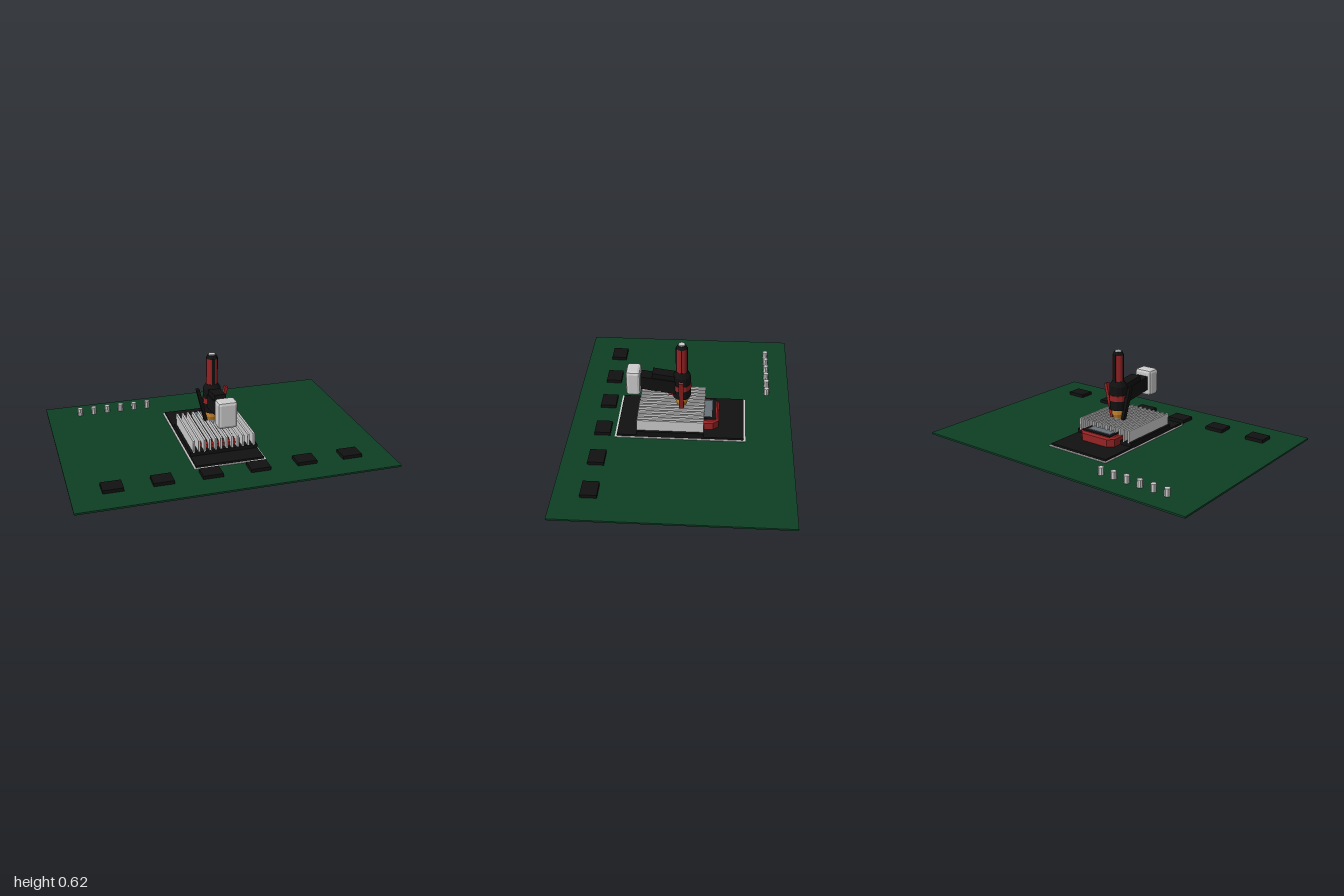
import * as THREE from 'three';
import { RoundedBoxGeometry } from 'three/addons/geometries/RoundedBoxGeometry.js';

function mat(name, color) {
  const m = new THREE.MeshStandardMaterial({ color, flatShading: true });
  m.name = name;
  return m;
}

export function createModel() {
  const green = mat('board green', 0x0e3f24);
  const black = mat('black', 0x111112);
  const red = mat('red', 0x962324);
  const silver = mat('silver', 0xcccccc);
  const brass = mat('brass', 0xc4842a);
  const slate = mat('slate grey', 0x687279);

  const model = new THREE.Group();
  model.name = 'circuitBoardWithTool';

  function add(name, geometry, material, x = 0, y = 0, z = 0, parent = model) {
    const mesh = new THREE.Mesh(geometry, material);
    mesh.name = name;
    mesh.position.set(x, y, z);
    parent.add(mesh);
    return mesh;
  }
  // box given by its limits on each axis
  function box(name, material, x0, x1, y0, y1, z0, z1, parent = model) {
    return add(name, new THREE.BoxGeometry(x1 - x0, y1 - y0, z1 - z0), material,
      (x0 + x1) / 2, (y0 + y1) / 2, (z0 + z1) / 2, parent);
  }
  // upright frustum from y0 to y1
  function frustum(name, material, r0, r1, y0, y1, parent, sides = 12) {
    return add(name, new THREE.CylinderGeometry(r1, r0, y1 - y0, sides), material, 0, (y0 + y1) / 2, 0, parent);
  }
  // box with chamfered edges
  function chamferBox(name, material, w, h, d, c, x, y, z, parent = model) {
    return add(name, new RoundedBoxGeometry(w, h, d, 1, c), material, x, y, z, parent);
  }

  // board
  box('board', green, -1, 1, 0.031, 0.042, -0.717, 0.717);

  // row of chips along the front edge
  for (let i = 0; i < 6; i++) {
    const x = -0.75 + i * 0.3;
    box('chip', black, x - 0.063, x + 0.063, 0.04, 0.064, 0.448, 0.55);
  }

  // row of capacitors at the back
  for (let i = 0; i < 6; i++) {
    add('capacitor', new THREE.CylinderGeometry(0.018, 0.018, 0.05, 8), silver, -0.781 + i * 0.0937, 0.065, -0.563);
  }

  // socket plate with its bright rim, and the foot below
  box('socketRim', silver, -0.23, 0.23, 0.027, 0.046, -0.418, 0.418);
  box('socketPlate', black, -0.218, 0.218, 0.044, 0.059, -0.405, 0.405);
  box('lowerPlate', silver, -0.048, 0.048, 0.022, 0.03, -0.07, 0.07);

  // heat sink
  box('heatSinkBase', black, -0.218, 0.218, 0.055, 0.085, -0.15, 0.278);
  for (let i = 0; i < 12; i++) {
    const x = -0.195 + i * 0.03545;
    box('heatSinkFin', silver, x - 0.0065, x + 0.0065, 0.08, 0.16, -0.15, 0.278);
  }

  // red housing under the fins, with a black lid and a grey pad
  const w = 0.125, l = 0.235, c = 0.03;
  const outline = new THREE.Shape([
    [-w + c, -l], [w - c, -l], [w, -l + c], [w, l - c],
    [w - c, l], [-w + c, l], [-w, l - c], [-w, -l + c],
  ].map(([x, y]) => new THREE.Vector2(x, y)));
  const housing = new THREE.ExtrudeGeometry(outline, {
    depth: 0.05, bevelEnabled: true, bevelThickness: 0.012, bevelSize: 0.012, bevelOffset: -0.002, bevelSegments: 1,
  });
  housing.rotateX(-Math.PI / 2);
  add('housing', housing, red, 0, 0.058, 0);
  box('housingLid', black, -0.108, 0.108, 0.11, 0.125, -0.225, 0.222);
  box('housingPad', slate, -0.09, 0.09, 0.12, 0.1285, -0.2, -0.07);

  // upright tool
  const tool = new THREE.Group();
  tool.name = 'tool';
  model.add(tool);
  frustum('pin', silver, 0.004, 0.006, 0, 0.13, tool, 8);
  frustum('tip', silver, 0.008, 0.032, 0.12, 0.172, tool);
  frustum('nozzle', brass, 0.032, 0.042, 0.168, 0.195, tool);
  frustum('nozzleCollar', brass, 0.042, 0.042, 0.195, 0.23, tool);
  frustum('body', black, 0.058, 0.058, 0.228, 0.385, tool);
  frustum('bodyBand', red, 0.061, 0.061, 0.29, 0.326, tool);
  frustum('shoulder', black, 0.058, 0.038, 0.385, 0.418, tool);
  frustum('handle', red, 0.036, 0.036, 0.41, 0.59, tool);
  frustum('handleCap', black, 0.037, 0.027, 0.588, 0.61, tool);
  frustum('handleButton', silver, 0.023, 0.021, 0.608, 0.617, tool);

  // dark strips down the handle
  for (let i = 0; i < 4; i++) {
    const strip = new THREE.Group();
    strip.name = 'handleStrip';
    strip.rotation.y = i * Math.PI / 2;
    tool.add(strip);
    const half = i % 2 ? 0.004 : 0.009;
    box('strip', black, -half, half, 0.415, 0.592, 0.03, 0.038, strip);
  }

  // slanted levers at the sides
  for (const [name, material, side] of [['redLever', red, 1], ['blackLever', black, -1]]) {
    const lever = box(name, material, -0.01, 0.01, -0.114, 0.114, -0.015, 0.015, tool);
    lever.position.set(side * 0.069, 0.273, 0);
    lever.rotation.z = -side * 0.23;
    box('leverMount', material, -0.012, 0.012, -0.012, 0.012, -0.012, 0.012, tool).position.set(side * 0.065, 0.307, 0);
  }

  // arm reaching forward, slightly raised
  const arm = new THREE.Group();
  arm.name = 'arm';
  arm.position.set(0, 0.315, 0.05);
  arm.rotation.x = -0.14;
  tool.add(arm);
  box('armBeam', black, -0.042, 0.042, -0.048, 0.042, -0.03, 0.225, arm);
  box('armCover', black, -0.036, 0.036, 0.03, 0.076, -0.02, 0.148, arm);

  // end block and trigger
  chamferBox('endBlock', silver, 0.126, 0.175, 0.094, 0.02, 0, 0.341, 0.308, tool);
  chamferBox('trigger', red, 0.036, 0.032, 0.04, 0.006, 0, 0.25, 0.066, tool);

  return model;
}
